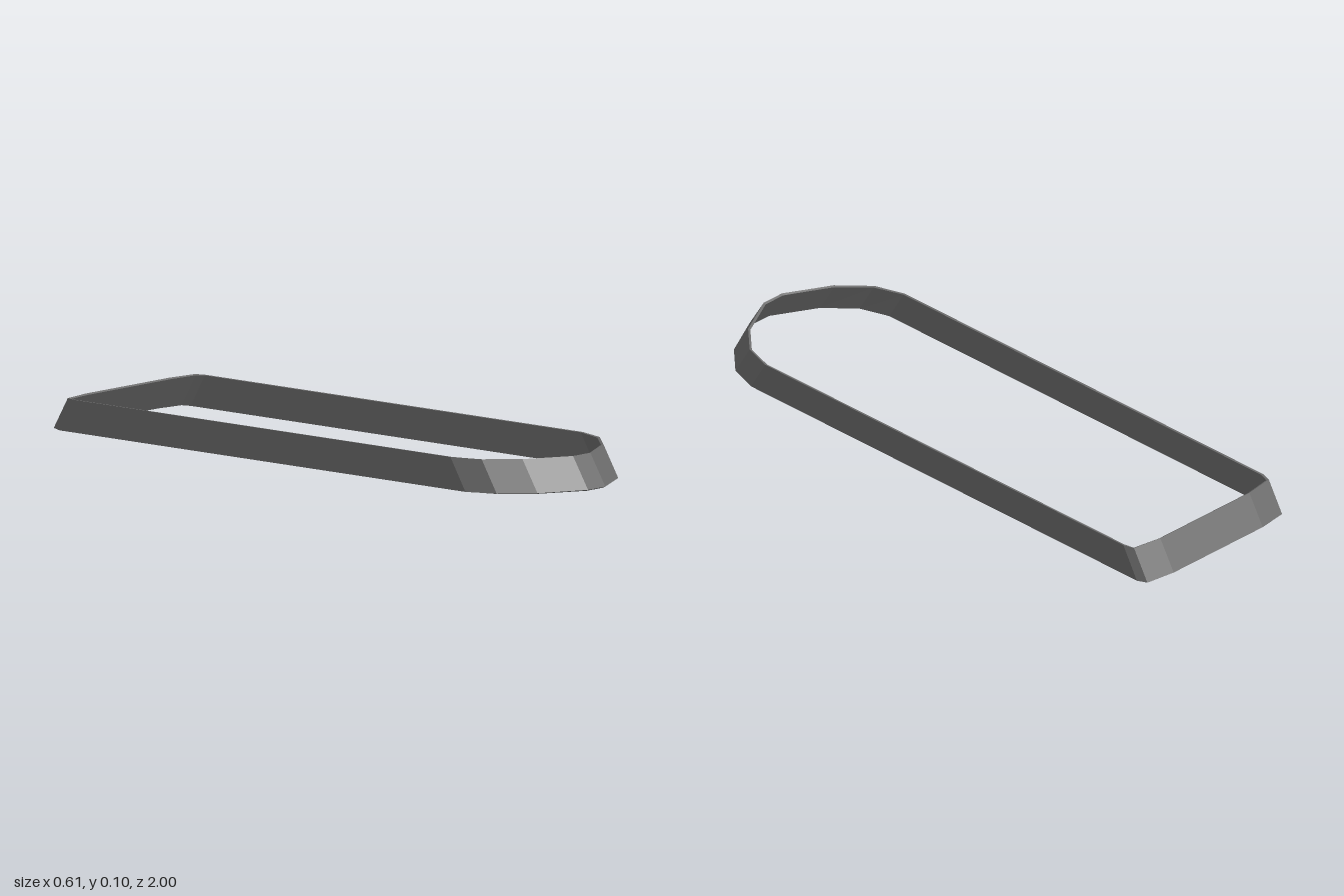
import * as THREE from 'three';

// One half of the band's lower outline as [x, z], front to back
const half = [
  [0.04, 1.0], [0.187, 0.922], [0.273, 0.83], [0.306, 0.73],
  [0.306, -0.95], [0.295, -0.985], [0.195, -1.0],
];
const height = 0.103, wall = 0.007, drop = 0.004;
const frontLean = 0.062, backLean = 0.058;

// Outward normal of the outline edge from a to b
function edgeNormal(a, b) {
  return new THREE.Vector2(a[1] - b[1], b[0] - a[0]).normalize();
}

export function createModel() {
  const outline = [...half, ...half.map(([x, z]) => [-x, z]).reverse()];
  const n = outline.length;

  // Wall section at each outline point: outer bottom, outer top, inner top, inner bottom
  const sections = outline.map((p, i) => {
    const n0 = edgeNormal(outline[(i + n - 1) % n], p);
    const n1 = edgeNormal(p, outline[(i + 1) % n]);
    const miter = n0.clone().add(n1).normalize();
    const inset = wall / miter.dot(n1);
    const [x, z] = p;
    const ix = x - miter.x * inset, iz = z - miter.y * inset;
    const shift = z > 0 ? -frontLean : backLean; // both ends lean inward
    const d = drop * Math.abs(miter.y);
    return [
      [x, d, z], [x, height, z + shift],
      [ix, height - d, iz + shift], [ix, 0, iz],
    ];
  });

  // Join neighbouring sections with flat quads
  const positions = [];
  for (let i = 0; i < n; i++) {
    const s = sections[i], t = sections[(i + 1) % n];
    for (let k = 0; k < 4; k++) {
      const m = (k + 1) % 4;
      positions.push(...s[k], ...t[k], ...t[m], ...s[k], ...t[m], ...s[m]);
    }
  }
  const geometry = new THREE.BufferGeometry();
  geometry.setAttribute('position', new THREE.Float32BufferAttribute(positions, 3));
  geometry.computeVertexNormals();

  const band = new THREE.Mesh(
    geometry,
    new THREE.MeshStandardMaterial({ color: 0x6c6c6c, flatShading: true }),
  );
  band.name = 'rimBand';
  const group = new THREE.Group();
  group.name = 'rim';
  group.add(band);
  return group;
}
